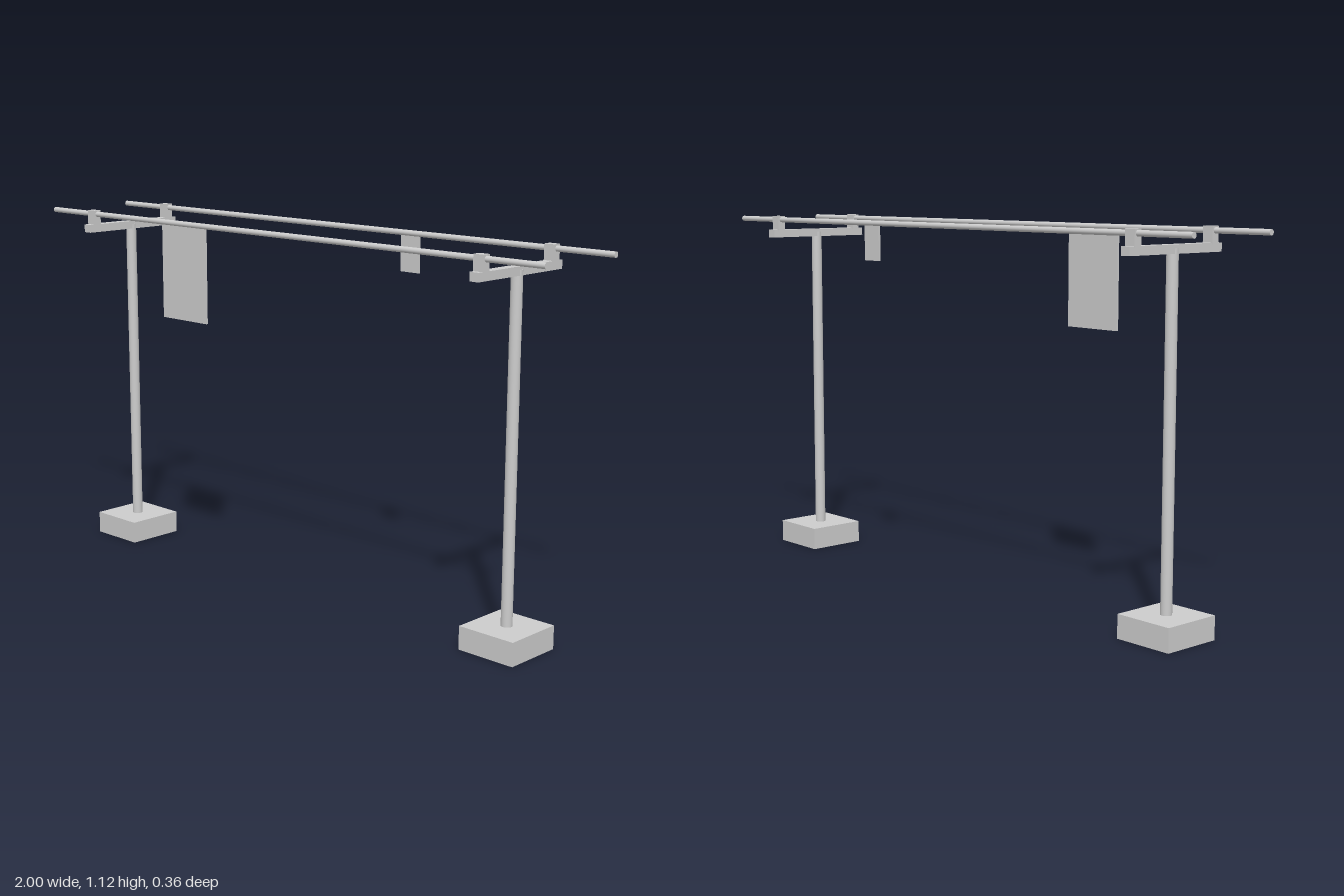
import * as THREE from 'three';

export function createModel() {
  const model = new THREE.Group();
  model.name = 'clothesRack';
  const grey = new THREE.MeshStandardMaterial({ color: 0xcccccc });
  grey.name = 'light grey';

  const add = (parent, name, geometry, x, y, z) => {
    const mesh = new THREE.Mesh(geometry, grey);
    mesh.name = name;
    mesh.position.set(x, y, z);
    parent.add(mesh);
    return mesh;
  };
  // box given by its bottom and top heights
  const box = (parent, name, w, d, y0, y1, x, z) =>
    add(parent, name, new THREE.BoxGeometry(w, y1 - y0, d), x, (y0 + y1) / 2, z);

  const railZ = 0.153, railY = 1.108;

  // T-shaped end supports on square footings
  for (const side of [-1, 1]) {
    const support = new THREE.Group();
    support.name = side < 0 ? 'rightSupport' : 'leftSupport';
    support.position.x = side * 0.795;
    box(support, 'footing', 0.186, 0.188, 0, 0.07, 0, 0);
    add(support, 'post', new THREE.CylinderGeometry(0.0165, 0.0165, 1.0, 32), 0, 0.565, 0);
    box(support, 'crossbar', 0.03, 0.364, 1.05, 1.075, 0, 0);
    for (const z of [-railZ, railZ]) box(support, 'railBracket', 0.034, 0.025, 1.07, 1.12, 0, z);
    model.add(support);
  }

  // Two long rails
  for (const z of [-railZ, railZ]) {
    const rail = add(model, z > 0 ? 'frontRail' : 'backRail',
      new THREE.CylinderGeometry(0.0085, 0.0085, 2, 24), 0, railY, z);
    rail.rotation.z = Math.PI / 2;
  }

  // Thin cloths hanging from the rails
  box(model, 'largeCloth', 0.198, 0.006, 0.81, railY, -0.356, railZ);
  box(model, 'smallCloth', 0.07, 0.006, 0.993, railY, 0.293, -railZ);

  return model;
}
